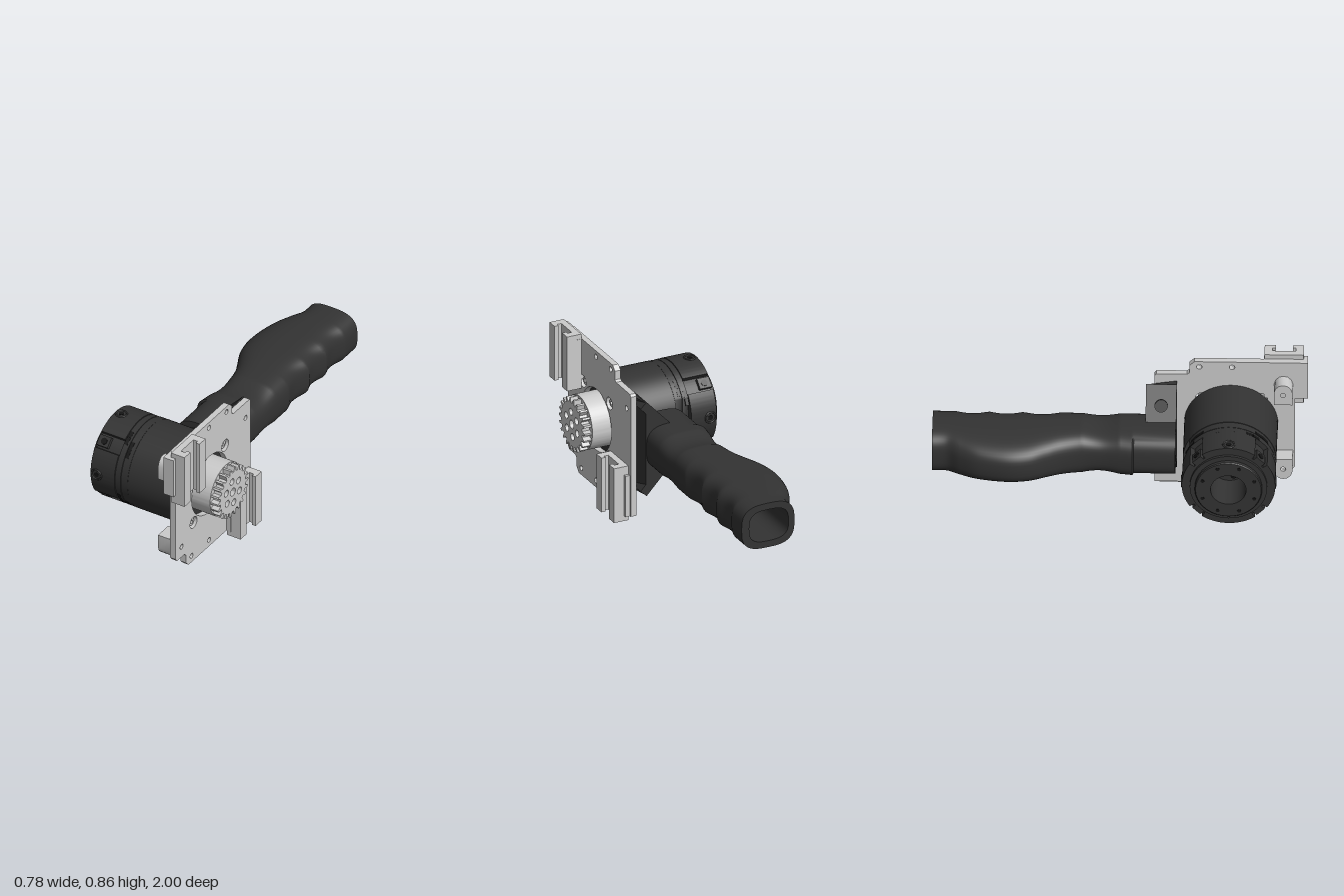
import * as THREE from 'three';
import { toCreasedNormals } from 'three/addons/utils/BufferGeometryUtils.js';

const CY = 0.432, CZ = 0.59; // motor axis
const light = new THREE.MeshStandardMaterial({ color: 0xcccccc });
const dark = new THREE.MeshStandardMaterial({ color: 0x333333 });
const black = new THREE.MeshStandardMaterial({ color: 0x141414 });

export function createModel() {
  const group = new THREE.Group();

  const add = (name, geo, mat, x = 0, y = 0, z = 0) => {
    const mesh = new THREE.Mesh(geo, mat);
    mesh.name = name;
    mesh.position.set(x, y, z);
    group.add(mesh);
    return mesh;
  };
  const box = (name, mat, x0, x1, y0, y1, z0, z1) =>
    add(name, new THREE.BoxGeometry(x1 - x0, y1 - y0, z1 - z0), mat,
      (x0 + x1) / 2, (y0 + y1) / 2, (z0 + z1) / 2);
  const smooth = (geo) => toCreasedNormals(geo, 0.6);
  const circle = (z, y, r) => new THREE.Path().absarc(-z, y, r, 0, Math.PI * 2, true);
  const outline = (pts) => new THREE.Shape(pts.map(([z, y]) => new THREE.Vector2(-z, y)));
  // Extrude a (z, y) outline along x
  const extrudeX = (shape, depth, segs = 16) => smooth(new THREE.ExtrudeGeometry(shape,
    { depth, bevelEnabled: false, curveSegments: segs }).rotateY(Math.PI / 2));
  const turn = (pts, segs = 64) => smooth(new THREE.LatheGeometry(
    pts.map(([r, x]) => new THREE.Vector2(r, x)), segs).rotateZ(-Math.PI / 2));

  // Motor housing with stepped nose and open bore
  add('motorHousing', turn([
    [0, -0.18], [0.095, -0.18], [0.095, -0.39], [0.175, -0.39], [0.18, -0.385], [0.18, -0.367],
    [0.207, -0.367], [0.207, -0.345], [0.215, -0.345], [0.215, -0.118], [0.25, -0.118],
    [0.25, 0.206], [0, 0.206]]), dark, 0, CY, CZ);

  // Castellated clamp ring: four panels separated by slots
  const ring = new THREE.Shape();
  for (let i = 0; i < 4; i++) {
    const a = i * Math.PI / 2;
    ring.absarc(0, 0, 0.25, a - 0.6, a + 0.6, false);
    ring.absarc(0, 0, 0.222, a + 0.6, a + Math.PI / 2 - 0.6, false);
  }
  ring.closePath();
  ring.holes.push(circle(0, 0, 0.2));
  add('clampRing', extrudeX(ring, 0.15, 20), dark, -0.352, CY, CZ);

  // Lock collar, flat on the handle side
  const collar = new THREE.Shape();
  collar.absarc(0, 0, 0.248, 0.53, Math.PI * 2 - 0.53, false);
  collar.closePath();
  collar.holes.push(circle(0, 0, 0.2));
  add('lockCollar', extrudeX(collar, 0.034, 64), dark, -0.199, CY, CZ);
  add('lockCollar', extrudeX(collar, 0.042, 64), dark, -0.162, CY, CZ);

  // Clamp lugs and screws in the slots, bosses on the panels, pockets in the collar
  for (let i = 0; i < 4; i++) {
    const a = i * Math.PI / 2;
    const radial = (name, geo, mat, r, x, ang) => {
      const m = add(name, geo, mat, x, CY + r * Math.sin(ang), CZ + r * Math.cos(ang));
      m.rotation.x = Math.PI / 2 - ang;
      return m;
    };
    radial('clampLug', new THREE.BoxGeometry(0.07, 0.035, 0.06), dark, 0.226, -0.317, a + Math.PI / 4);
    radial('clampScrew', new THREE.CylinderGeometry(0.018, 0.018, 0.006, 20), black, 0.244, -0.315, a + Math.PI / 4);
    radial('panelBoss', new THREE.TorusGeometry(0.03, 0.005, 8, 28).rotateX(Math.PI / 2), dark, 0.249, -0.315, a);
    radial('panelHole', new THREE.CylinderGeometry(0.014, 0.014, 0.006, 20), black, 0.249, -0.315, a);
    for (const s of [-0.7, 0.7]) {
      radial('collarPocket', new THREE.BoxGeometry(0.02, 0.006, 0.05), black, 0.246, -0.152, a + s);
      radial('collarPocket', new THREE.BoxGeometry(0.02, 0.006, 0.04), black, 0.246, -0.187, a + s + 0.25);
    }
  }
  box('sidePocket', black, 0.175, 0.206, 0.41, 0.455, 0.83, 0.841);
  for (let i = 0; i < 8; i++) {
    const a = (i + 0.5) * Math.PI / 4;
    add('noseScrew', new THREE.CylinderGeometry(0.01, 0.01, 0.004, 14).rotateZ(Math.PI / 2), black,
      -0.39, CY + 0.15 * Math.sin(a), CZ + 0.15 * Math.cos(a));
  }
  for (let i = 0; i < 4; i++) {
    const a = i * Math.PI / 2 + 0.4;
    add('boreScrew', new THREE.CylinderGeometry(0.016, 0.016, 0.02, 14).rotateZ(Math.PI / 2), black,
      -0.185, CY + 0.06 * Math.sin(a), CZ + 0.06 * Math.cos(a));
  }

  // Mounting plate with holes
  const plate = outline([[0.93, 0.14], [0.915, 0.122], [0.84, 0.12], [0.825, 0.105], [0.825, 0.055],
    [0.8, 0.03], [0.18, 0.03], [0.18, 0.735], [0.19, 0.748], [0.355, 0.75], [0.368, 0.76],
    [0.368, 0.81], [0.395, 0.835], [0.93, 0.835]]);
  plate.holes.push(circle(CZ, CY, 0.18));
  for (const [z, y] of [[0.595, 0.8], [0.42, 0.8], [0.23, 0.65], [0.87, 0.188], [0.77, 0.07], [0.595, 0.07]])
    plate.holes.push(circle(z, y, 0.015));
  const screws = [[0.75, 0.592], [0.435, 0.592], [0.75, 0.275], [0.435, 0.275]];
  for (const [z, y] of screws) plate.holes.push(circle(z, y, 0.035));
  add('mountingPlate', extrudeX(plate, 0.034), light, 0.208);
  for (const [z, y] of screws)
    add('plateScrew', turn([[0, -0.005], [0.01, -0.005], [0.01, 0.008], [0.022, 0.008], [0.022, -0.01]].reverse()
      .map(([r, x]) => [r, x]), 20), light, 0.222, y, z);

  // Standoffs behind the plate
  for (const [y, s] of [[0.68, 1], [0.185, -1]]) {
    const off = outline([[0.82, -0.065], [0.92, -0.065], [0.92, 0.015], [0.911, 0.042],
      [0.892, 0.06], [0.87, 0.065], [0.848, 0.06], [0.829, 0.042], [0.82, 0.015]].map(([z, v]) => [z, v * s]));
    off.holes.push(circle(0.87, 0, 0.014));
    add('standoff', extrudeX(off, 0.084), light, 0.125, y);
  }

  // Rail clips on diagonal corners, each with a T-slot
  const half = [[0, 0.105], [0.085, 0.105], [0.085, 0.045], [0.062, 0.045], [0.062, 0.062], [0.036, 0.062]];
  const slot = new THREE.Shape([...half.map(([x, z]) => new THREE.Vector2(x, z)),
    ...half.slice().reverse().map(([x, z]) => new THREE.Vector2(x, -z))]);
  for (const [y, z] of [[0.542, 0.872], [0, 0.312]])
    add('railClip', new THREE.ExtrudeGeometry(slot, { depth: 0.32, bevelEnabled: false })
      .rotateX(-Math.PI / 2), light, 0.243, y, z);
  box('upperClipBase', light, 0.209, 0.272, 0.598, 0.834, 0.765, 1.0);
  box('lowerClipBase', light, 0.235, 0.268, 0.03, 0.27, 0.19, 0.42);

  // Gear hub: open shell around a core
  const shell = new THREE.Shape();
  shell.absarc(0, 0, 0.155, -0.9, 4.2, false);
  shell.absarc(0, 0, 0.12, 4.2, -0.9, true);
  shell.closePath();
  add('hubShell', extrudeX(shell, 0.135, 48), light, 0.208, CY + 0.004, CZ);
  add('hubCore', new THREE.CylinderGeometry(0.095, 0.095, 0.15, 40).rotateZ(Math.PI / 2), light, 0.275, CY, CZ);
  box('hubTab', light, 0.308, 0.345, 0.288, 0.33, 0.56, 0.64);

  // Spur gear with bolt holes
  const teeth = 22, gear = new THREE.Shape();
  for (let i = 0; i < teeth; i++)
    [[-0.3, 0.126], [-0.13, 0.153], [0.13, 0.153], [0.3, 0.126]].forEach(([f, r], k) => {
      const a = (i + f) * Math.PI * 2 / teeth;
      gear[i + k ? 'lineTo' : 'moveTo'](r * Math.cos(a), r * Math.sin(a));
    });
  gear.closePath();
  gear.holes.push(circle(0, 0, 0.024));
  for (let i = 0; i < 6; i++) {
    const a = i * Math.PI / 3 + 0.4;
    gear.holes.push(circle(0.071 * Math.cos(a), 0.071 * Math.sin(a), 0.02));
  }
  add('spurGear', extrudeX(gear, 0.045), light, 0.345, CY + 0.002, CZ);

  // Hollow handle lofted along z: palm swell on one side, finger grooves on the other
  const swell = new THREE.SplineCurve([[-1, -0.145], [-0.92, -0.148], [-0.85, -0.19], [-0.75, -0.235],
    [-0.6, -0.26], [-0.48, -0.245], [-0.38, -0.2], [-0.3, -0.165], [-0.2, -0.143], [-0.1, -0.142],
    [0, -0.156], [0.07, -0.168]].map((p) => new THREE.Vector2(...p))).getPoints(88);
  swell.push(new THREE.Vector2(0.078, -0.146), new THREE.Vector2(0.3, -0.146));
  const scoop = (z, a, b) => (z > a && z < b ? Math.sin(Math.PI * (z - a) / (b - a)) : 0);
  const N = 48, pos = [], idx = [];
  const section = (z, left, right, h) => {
    for (let j = 0; j < N; j++) {
      const a = j / N * Math.PI * 2, c = Math.cos(a), s = Math.sin(a);
      const px = Math.sign(c) * Math.abs(c) ** 0.66, py = Math.sign(s) * Math.abs(s) ** 0.66;
      pos.push(0.01 + px * (c > 0 ? right - 0.01 : 0.01 - left), 0.43 + py * h, z);
    }
  };
  for (const { x: z, y: left } of swell) {
    const groove = scoop(z, -0.88, -0.7) + scoop(z, -0.7, -0.52) + scoop(z, -0.52, -0.32);
    section(z, left, 0.17 - 0.022 * groove, 0.13 - 0.016 * scoop(z, -0.2, 0));
  }
  section(0.3, -0.11, 0.125, 0.092);
  section(-1, -0.11, 0.125, 0.092);
  const rows = pos.length / 3 / N;
  for (let i = 0; i < rows; i++) for (let j = 0; j < N; j++) {
    const k = (j + 1) % N, n = (i + 1) % rows;
    const a = i * N + j, b = i * N + k, c = n * N + k, d = n * N + j;
    idx.push(a, b, c, a, c, d);
  }
  const handle = new THREE.BufferGeometry();
  handle.setAttribute('position', new THREE.Float32BufferAttribute(pos, 3));
  handle.setIndex(idx);
  add('handle', toCreasedNormals(handle, 0.5), dark);

  // Handle bracket: foot against the plate and two sloping gussets with bolt holes
  const foot = new THREE.Shape([[0.207, 0.16], [0.207, 0.705], [0.165, 0.705], [0.09, 0.57], [0.02, 0.52],
    [0.02, 0.345], [0.09, 0.295], [0.165, 0.16]].map((p) => new THREE.Vector2(...p)));
  const footGeo = new THREE.ExtrudeGeometry(foot, { depth: 0.165, bevelEnabled: false });
  const fp = footGeo.attributes.position; // chamfer the rear edge beside the plate
  for (let i = 0; i < fp.count; i++) if (fp.getX(i) > 0.2 && fp.getZ(i) < 0.01) fp.setX(i, 0.172);
  footGeo.computeVertexNormals();
  add('bracketFoot', footGeo, dark, 0, 0, 0.137);
  for (const s of [1, -1]) {
    const arm = new THREE.Shape([[-0.1, -0.082], [0.115, -0.082], [0.115, 0.082], [-0.1, 0.082]]
      .map((p) => new THREE.Vector2(...p)));
    arm.holes.push(new THREE.Path().absarc(0, 0, 0.034, 0, Math.PI * 2, true));
    const geo = smooth(new THREE.ExtrudeGeometry(arm, { depth: 0.05, bevelEnabled: false })
      .translate(0, 0, -0.05).rotateX(-Math.PI / 2).rotateZ(0.82));
    if (s < 0) geo.rotateX(Math.PI);
    add('bracketGusset', geo, dark, 0.09, 0.432 + s * 0.193, 0.219);
  }
  return group;
}
